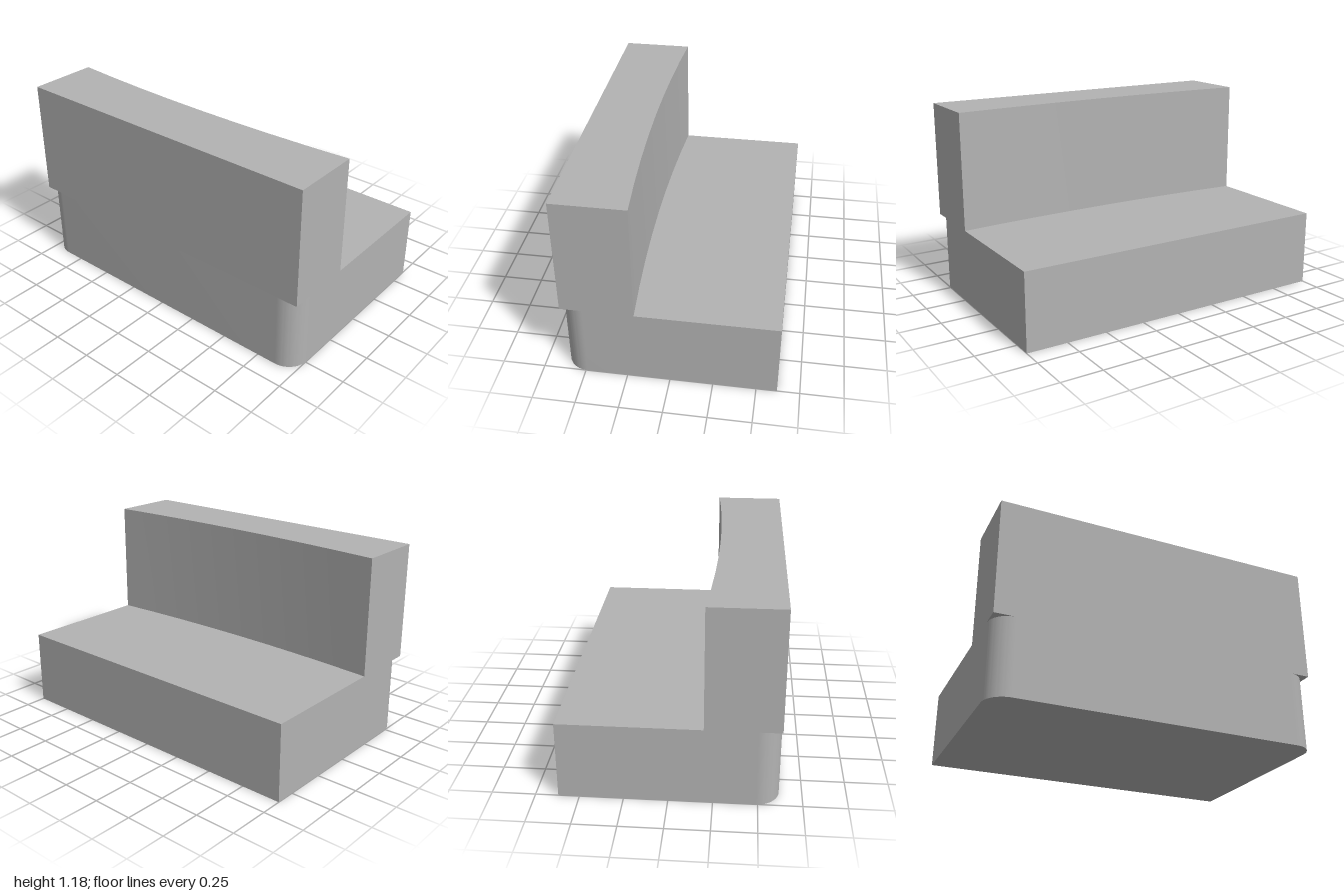
import * as THREE from 'three';
import { toCreasedNormals } from 'three/addons/utils/BufferGeometryUtils.js';

const HALF_W = 0.62, HALF_L = 1, SEAT_Y = 0.465, TOP_Y = 1.18;

// Raise a floor-plan outline from y0 to y1
function raisePlan(name, shape, y0, y1, material) {
  const extruded = new THREE.ExtrudeGeometry(shape, {
    depth: y1 - y0, bevelEnabled: false, curveSegments: 12,
  });
  extruded.rotateX(-Math.PI / 2).translate(0, y0, 0);
  const mesh = new THREE.Mesh(toCreasedNormals(extruded, Math.PI / 6), material);
  mesh.name = name;
  return mesh;
}

export function createModel() {
  const group = new THREE.Group();
  group.name = 'bench';
  const grey = new THREE.MeshStandardMaterial({ color: 0xb3b3b3 });
  grey.name = 'grey';

  // Seat block with two rounded corners beneath the backrest
  const r = 0.13;
  const seat = new THREE.Shape();
  seat.moveTo(HALF_W, -HALF_L);
  seat.lineTo(HALF_W, HALF_L);
  seat.lineTo(-HALF_W + r, HALF_L);
  seat.absarc(-HALF_W + r, HALF_L - r, r, Math.PI / 2, Math.PI, false);
  seat.lineTo(-HALF_W, -HALF_L + r);
  seat.absarc(-HALF_W + r, -HALF_L + r, r, Math.PI, Math.PI * 1.5, false);
  seat.closePath();
  group.add(raisePlan('seat', seat, 0, SEAT_Y, grey));

  // Backrest with a shallow concave face and square outer corners
  const edgeX = -0.196, dip = 0.041, steps = 8;
  const back = new THREE.Shape();
  back.moveTo(-HALF_W, HALF_L);
  back.lineTo(-HALF_W, -HALF_L);
  for (let i = 0; i <= steps; i++) {
    const z = -HALF_L + (2 * HALF_L * i) / steps;
    back.lineTo(edgeX - dip * (1 - z * z), z);
  }
  back.closePath();
  group.add(raisePlan('backrest', back, SEAT_Y, TOP_Y, grey));

  return group;
}
